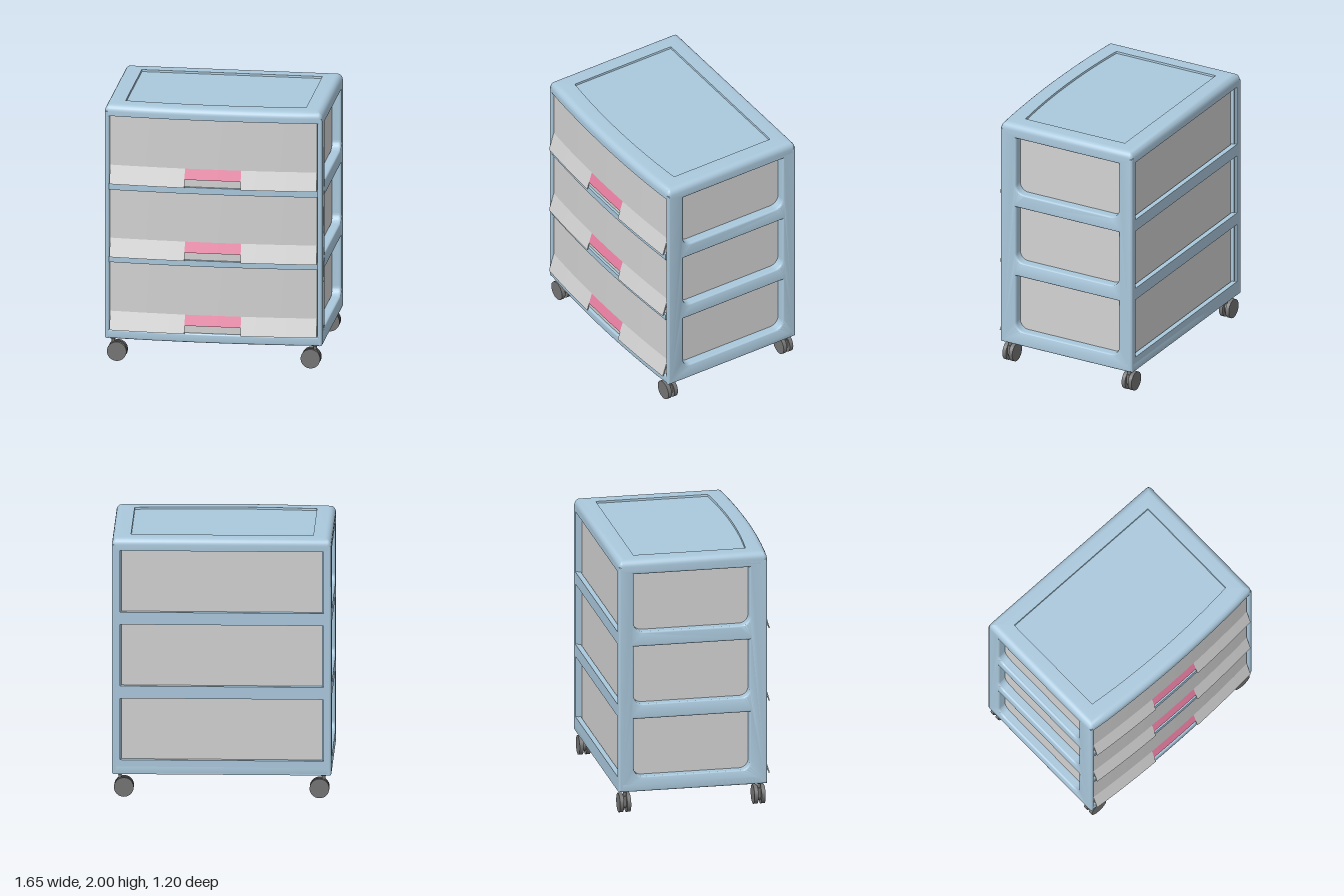
import * as THREE from 'three';
import { toCreasedNormals } from 'three/addons/utils/BufferGeometryUtils.js';

const mat = (name, color) => {
  const m = new THREE.MeshStandardMaterial({ color });
  m.name = name;
  return m;
};

const HALF = 0.825, BACK = -0.6, BULGE = 0.036;
const frontZ = (x, hw = HALF) => 0.54 + BULGE * (1 - (x / hw) ** 2);

// Plan outline as [x, z], inset by i, with rounded corners and a bowed front
function outline(i) {
  const hw = HALF - i, r = Math.max(0.03 - i, 0.004), pts = [];
  const corner = (cx, cz, start) => {
    for (let k = 0; k <= 4; k++) {
      const t = start + (k / 4) * Math.PI / 2;
      pts.push([cx + r * Math.cos(t), cz - r * Math.sin(t)]);
    }
  };
  const zb = BACK + i + r, zf = 0.54 - i - r;
  corner(hw - r, zb, 0);
  corner(-hw + r, zb, Math.PI / 2);
  corner(-hw + r, zf, Math.PI);
  for (let k = 1; k < 12; k++) {
    const x = (hw - r) * (k / 6 - 1);
    pts.push([x, frontZ(x, hw) - i]);
  }
  corner(hw - r, zf, Math.PI * 1.5);
  return pts;
}

// Stack of inset outlines, closed at both ends
function loft(rings) {
  const pos = [], idx = [];
  rings.forEach(([i, y]) => outline(i).forEach(([x, z]) => pos.push(x, y, z)));
  const n = pos.length / 3 / rings.length, last = (rings.length - 1) * n;
  const bottom = pos.length / 3, top = bottom + 1;
  pos.push(0, rings[0][1], 0, 0, rings[rings.length - 1][1], 0);
  for (let j = 0; j < n; j++) {
    const j1 = (j + 1) % n;
    for (let k = 0; k < rings.length - 1; k++) {
      const a = k * n + j, b = k * n + j1;
      idx.push(a, b, b + n, a, b + n, a + n);
    }
    idx.push(j1, j, bottom, last + j, last + j1, top);
  }
  const g = new THREE.BufferGeometry();
  g.setAttribute('position', new THREE.Float32BufferAttribute(pos, 3));
  g.setIndex(idx);
  return toCreasedNormals(g, 0.6);
}

// Sweep a [depth, y] section along x, following the curve z = f(x)
function sweep(x0, x1, section, f) {
  const shape = new THREE.Shape(section.map(([d, y]) => new THREE.Vector2(-d, y)));
  const g = new THREE.ExtrudeGeometry(shape, { depth: x1 - x0, steps: 12, bevelEnabled: false });
  g.rotateY(Math.PI / 2).translate(x0, 0, 0);
  const p = g.attributes.position;
  for (let i = 0; i < p.count; i++) p.setZ(i, p.getZ(i) + f(p.getX(i)));
  return toCreasedNormals(g, 0.3);
}

// Rectangle outline with separate radii for the bottom and top corners
function rect(Type, x0, x1, y0, y1, rb = 0, rt = 0) {
  const s = new Type();
  s.moveTo(x0 + rb, y0).lineTo(x1 - rb, y0);
  if (rb) s.absarc(x1 - rb, y0 + rb, rb, -Math.PI / 2, 0);
  s.lineTo(x1, y1 - rt);
  if (rt) s.absarc(x1 - rt, y1 - rt, rt, 0, Math.PI / 2);
  s.lineTo(x0 + rt, y1);
  if (rt) s.absarc(x0 + rt, y1 - rt, rt, Math.PI / 2, Math.PI);
  s.lineTo(x0, y0 + rb);
  if (rb) s.absarc(x0 + rb, y0 + rb, rb, Math.PI, Math.PI * 1.5);
  return s;
}

// Plate of total thickness t whose edges are rounded inwards by b
function plate(shape, t, b = 0) {
  const g = new THREE.ExtrudeGeometry(shape, {
    depth: t - 2 * b, bevelEnabled: b > 0, bevelThickness: b, bevelSize: b,
    bevelOffset: -b, bevelSegments: 4, curveSegments: 8,
  });
  return toCreasedNormals(g.translate(0, 0, b), 0.6);
}

export function createModel() {
  const model = new THREE.Group();
  const blue = mat('pale blue plastic', 0xaac8dc);
  const grey = mat('light grey plastic', 0xd2d2d2);
  const pink = mat('pink plastic', 0xee82a6);
  const dark = mat('dark grey rubber', 0x747474);

  const add = (name, geometry, material, parent = model) => {
    const m = new THREE.Mesh(geometry, material);
    m.name = name;
    parent.add(m);
    return m;
  };

  // Top: rounded edge and a shallow sunken tray
  const rings = [[0, 1.915]];
  for (let k = 0; k <= 6; k++) {
    const t = (k / 6) * Math.PI / 2;
    rings.push([0.05 * (1 - Math.cos(t)), 1.95 + 0.05 * Math.sin(t)]);
  }
  rings.push([0.14, 2], [0.142, 1.985]);
  add('top', loft(rings), blue);

  // Base plate with two openings
  const base = new THREE.Shape(outline(0).map(([x, z]) => new THREE.Vector2(x, -z)));
  for (const [a, b] of [[-0.69, -0.08], [0.08, 0.69]])
    base.holes.push(rect(THREE.Path, a, b, -0.4, 0.46, 0.05, 0.05));
  add('base', plate(base, 0.07, 0.012).rotateX(-Math.PI / 2).translate(0, 0.18, 0), blue);

  // Side walls: rounded outer skin and plain inner lining, three windows each
  const levels = [0, 0.57, 1.14];
  const sideShape = (zBack, zFront) => {
    const s = rect(THREE.Shape, -zFront, -zBack, 0.18, 1.95);
    for (const h of levels)
      s.holes.push(rect(THREE.Path, -0.405, 0.485, 0.295 + h, 0.75 + h, 0.07));
    return s;
  };
  for (const side of [1, -1]) {
    const skin = plate(sideShape(BACK, 0.54), 0.037, 0.015);
    add('sideWall', skin.rotateY(Math.PI / 2).translate(side > 0 ? 0.788 : -0.825, 0, 0), blue);
    const lining = plate(sideShape(-0.58, 0.49), 0.051);
    add('sideLining', lining.rotateY(Math.PI / 2).translate(side > 0 ? 0.755 : -0.806, 0, 0), blue);
  }

  // Back wall with three square-cornered openings
  const back = rect(THREE.Shape, -0.8, 0.8, 0.18, 1.95);
  for (const h of levels) back.holes.push(rect(THREE.Path, -0.765, 0.765, 0.29 + h, 0.765 + h));
  add('backWall', plate(back, 0.04).translate(0, 0, BACK), blue);

  // Bowed rails between the drawers
  for (const [y0, y1] of [[0.775, 0.82], [1.34, 1.39]])
    add('frontRail', sweep(-0.79, 0.79, [[0, y0], [0, y1], [-0.08, y1], [-0.08, y0]], frontZ), blue);

  // Drawers: box, bowed face, flared lip in two halves and a pink grip
  const faceZ = (x) => frontZ(x) - 0.02;
  for (const [y0, y1] of [[0.25, 0.775], [0.82, 1.34], [1.39, 1.915]]) {
    const drawer = new THREE.Group();
    drawer.name = 'drawer';
    model.add(drawer);
    const box = new THREE.BoxGeometry(1.506, y1 - y0 - 0.01, 1.06);
    add('drawerBox', box.translate(0, (y0 + y1) / 2, -0.02), grey, drawer);
    add('drawerFace', sweep(-0.785, 0.785, [[0, y0], [0, y1], [-0.025, y1], [-0.025, y0]], faceZ), grey, drawer);
    const lip = [[0, y0 + 0.14], [0.043, y0], [0.034, y0], [0, y0 + 0.11]];
    for (const [a, b] of [[-0.785, -0.213], [0.213, 0.785]])
      add('drawerLip', sweep(a, b, lip, faceZ), grey, drawer);
    const grip = [[0, y0 + 0.14], [0.0246, y0 + 0.06], [0, y0 + 0.06]];
    add('drawerGrip', sweep(-0.213, 0.213, grip, faceZ), pink, drawer);
  }

  // Twin-wheel casters
  for (const sx of [1, -1]) for (const z of [0.487, -0.545]) {
    const caster = new THREE.Group();
    caster.name = 'caster';
    caster.position.set(sx * 0.735, 0.075, z);
    model.add(caster);
    const disc = (name, r, w, dz) =>
      add(name, new THREE.CylinderGeometry(r, r, w, 32).rotateX(Math.PI / 2).translate(0, 0, dz), dark, caster);
    disc('wheel', 0.074, 0.03, 0.0275);
    disc('wheel', 0.074, 0.03, -0.0275);
    disc('hub', 0.045, 0.03, 0);
    add('casterHousing', new THREE.BoxGeometry(0.07, 0.07, 0.026).translate(sx * 0.015, 0.025, 0), dark, caster);
    add('casterStem', new THREE.CylinderGeometry(0.013, 0.013, 0.06, 16).translate(sx * 0.03, 0.076, 0), dark, caster);
    add('casterPlate', new THREE.CylinderGeometry(0.028, 0.028, 0.01, 20).translate(sx * 0.03, 0.1, 0), dark, caster);
  }
  return model;
}
